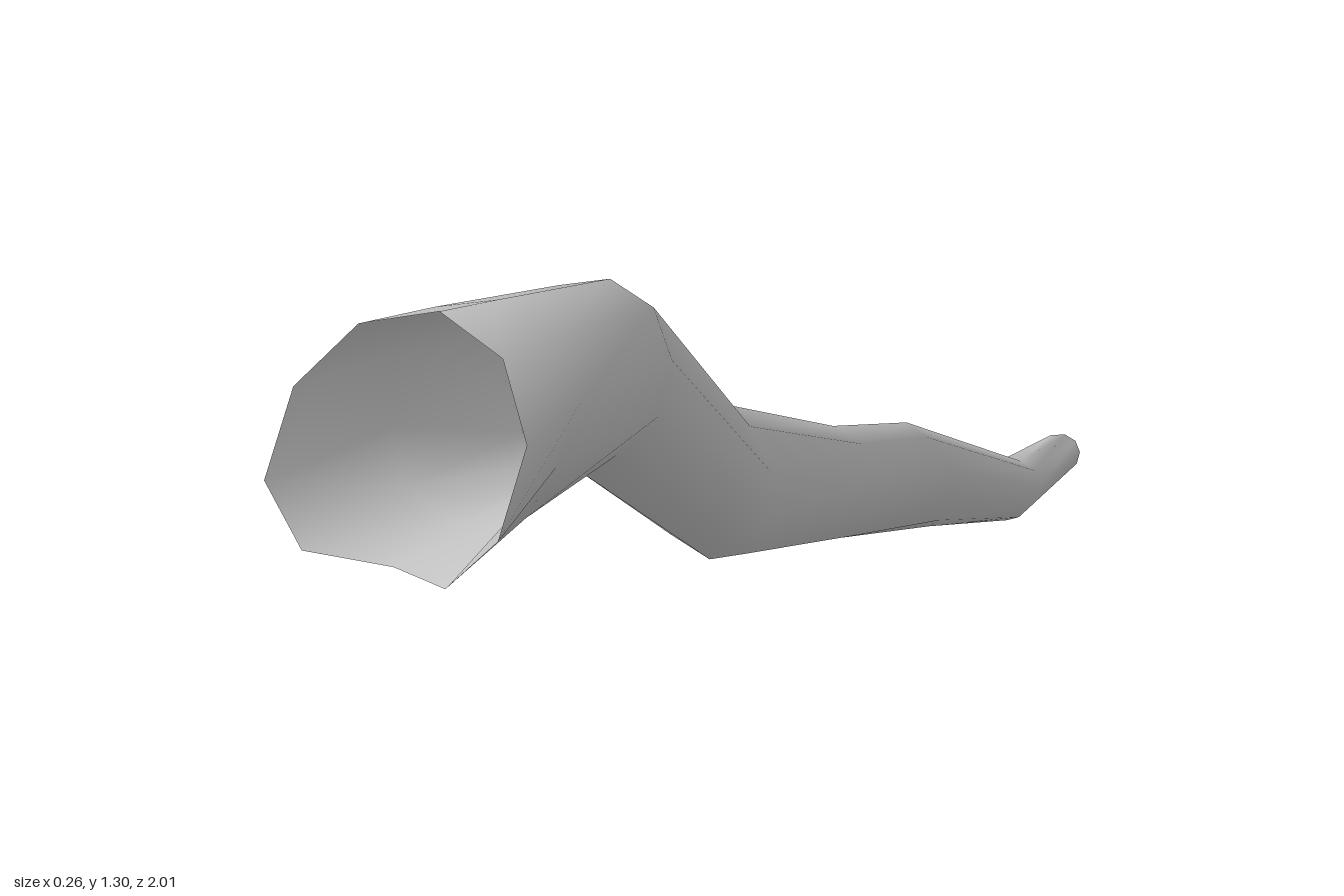
import * as THREE from 'three';

const SIDES = 10;

// Cross-sections from the open mouth to the tip.
// top / bottom: [y, z] at the upper and lower ridge, mid: x of the ridges,
// x: [right, left] extents, push: forward shift and pinch: x scale,
// both given for the five steps from top to bottom.
const SECTIONS = [
  { top: [1.31, 0.85], bottom: [1.08, 0.97], mid: 0, x: [-0.13, 0.13], push: [0, 0.01, 0.03, 0.06, 0.05, 0] },
  { top: [1.27, 0.75], bottom: [1.06, 0.85], mid: 0.01, x: [-0.1, 0.125], pinch: [1, 1, 0.95, 0.82, 1, 1] },
  { top: [1.17, 0.52], bottom: [1.01, 0.64], mid: 0.02, x: [-0.07, 0.112] },
  { top: [0.815, 0.2], bottom: [0.6, 0.22], mid: -0.01, x: [-0.095, 0.066] },
  { top: [0.55, -0.18], bottom: [0.365, -0.19], mid: -0.02, x: [-0.086, 0.046], pinch: [1, 1, 1, 0.95, 0.9, 1] },
  { top: [0.42, -0.41], bottom: [0.19, -0.5], mid: -0.01, x: [-0.095, 0.045], pinch: [1, 0.8, 1, 0.75, 0.6, 1] },
  { top: [0.11, -0.82], bottom: [0.035, -0.77], mid: 0.01, x: [-0.045, 0.048], pinch: [1, 1, 1, 0.85, 0.7, 1] },
  { top: [0.05, -1], bottom: [0.005, -0.96], mid: 0.015, x: [-0.02, 0.045] },
];

// Points of one cross-section, going round from the top over the left side
function ring({ top, bottom, mid, x, push, pinch }) {
  const points = [];
  for (let i = 0; i < SIDES; i++) {
    const a = (i / SIDES) * Math.PI * 2;
    const step = Math.min(i, SIDES - i);
    const t = (1 - Math.cos(a)) / 2;
    const s = Math.sin(a) * (pinch ? pinch[step] : 1) / Math.sin(Math.PI * 0.4);
    const reach = s > 0 ? x[1] - mid : mid - x[0];
    points.push(
      mid + s * reach,
      THREE.MathUtils.lerp(top[0], bottom[0], t),
      THREE.MathUtils.lerp(top[1], bottom[1], t) + (push ? push[step] : 0),
    );
  }
  return points;
}

function loft(sections) {
  const positions = sections.flatMap(ring);
  const index = [];
  for (let r = 0; r < sections.length - 1; r++) {
    for (let i = 0; i < SIDES; i++) {
      const j = (i + 1) % SIDES;
      const a = r * SIDES + i, b = r * SIDES + j;
      const c = a + SIDES, d = b + SIDES;
      index.push(a, b, c, b, d, c);
    }
  }
  // Close the tip
  const last = (sections.length - 1) * SIDES;
  for (let i = 1; i < SIDES - 1; i++) index.push(last, last + i, last + i + 1);

  const geometry = new THREE.BufferGeometry();
  geometry.setAttribute('position', new THREE.Float32BufferAttribute(positions, 3));
  geometry.setIndex(index);
  geometry.computeVertexNormals();
  return geometry;
}

export function createModel() {
  const group = new THREE.Group();
  group.name = 'taperedTail';
  // Hollow bent tube, open at the front
  const material = new THREE.MeshStandardMaterial({ color: 0xcccccc, side: THREE.DoubleSide });
  const tube = new THREE.Mesh(loft(SECTIONS), material);
  tube.name = 'tailTube';
  group.add(tube);
  return group;
}
